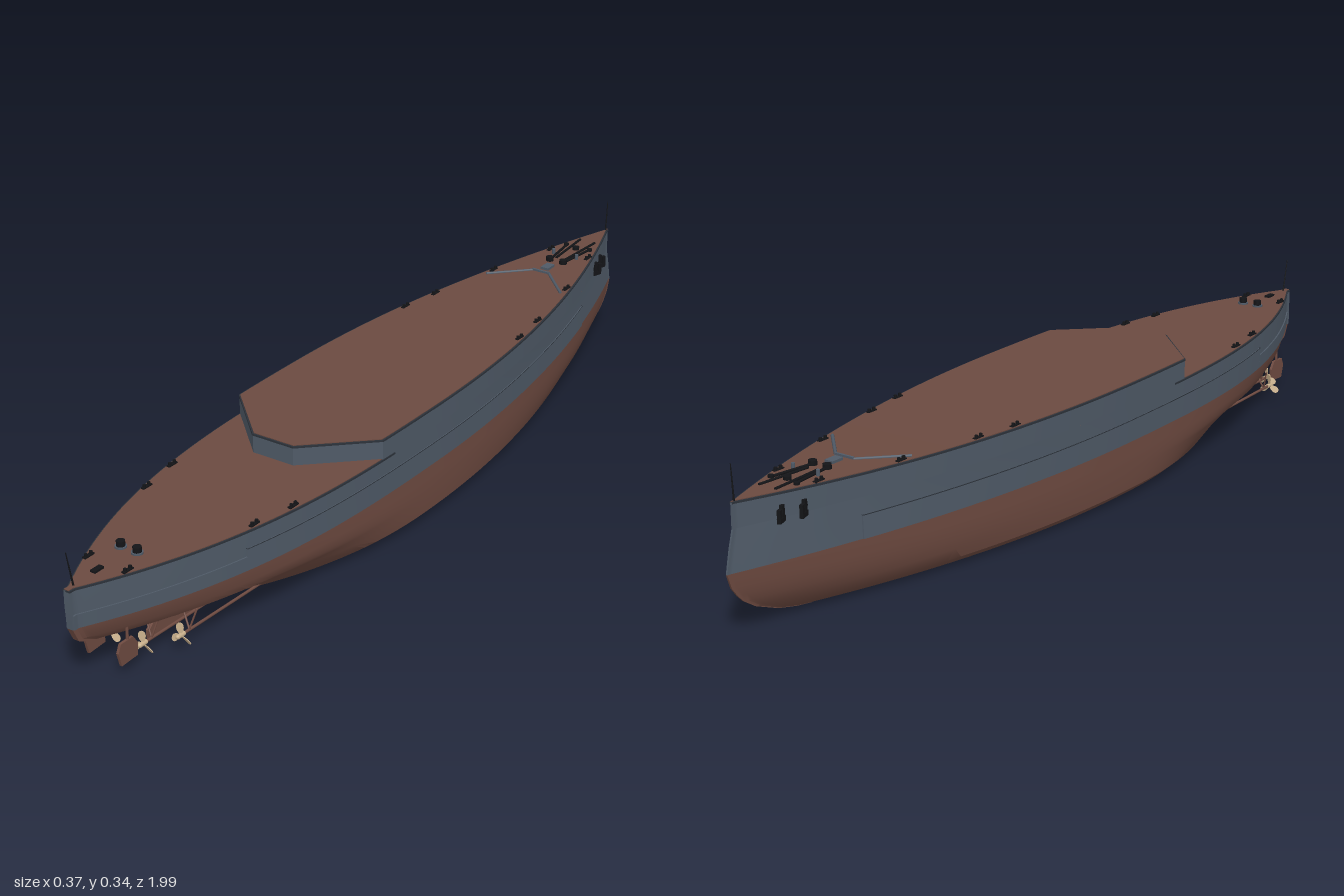
import * as THREE from 'three';
import { toCreasedNormals } from 'three/addons/utils/BufferGeometryUtils.js';

const mat = (name, color) => {
  const m = new THREE.MeshStandardMaterial({ color, side: THREE.DoubleSide });
  m.name = name;
  return m;
};

// Waterlines: height, half beam, bow z, stern z, bow and stern fullness
const MID = 0.05;
const line = (y, w, zb, zs, pf, pa) => ({ y, w, zb, zs, pf, pa });
const LEVELS = [
  line(0, 0.155, -0.78, 0.56, 2.0, 2.2),
  line(0.007, 0.165, -0.82, 0.6, 2.0, 2.2),
  line(0.02, 0.178, -0.87, 0.64, 2.0, 2.3),
  line(0.045, 0.181, -0.93, 0.72, 2.0, 2.4),
  line(0.065, 0.182, -0.96, 0.82, 2.0, 2.5),
  line(0.08, 0.183, -0.975, 0.93, 2.0, 2.6),
  line(0.1, 0.183, -0.99, 0.968, 2.0, 2.7),
  line(0.13, 0.183, -1.0, 0.982, 2.0, 2.8),
  line(0.177, 0.183, -0.99, 0.985, 2.0, 2.8),
  line(0.213, 0.183, -0.98, 0.985, 2.05, 2.8),
];
const [WATER, BELT, DECK] = [LEVELS[7], LEVELS[8], LEVELS[9]];

const half = (L, z) => z < MID
  ? Math.max(L.w * (1 - ((MID - z) / (MID - L.zb)) ** L.pf), 0.002)
  : Math.max(L.w * (1 - Math.min((z - MID) / (L.zs - MID), 1) ** L.pa), 0.007);

const sheer = (z) => 0.257 + 0.008 * Math.max(0, (-z - 0.4) / 0.6) ** 2;

// Half outline of one waterline, bow to stern, as [x, y, z]
function outline(L, { from = L.zb, to = L.zs, off = 0, y = () => L.y } = {}) {
  const pts = [], n = 64;
  for (let i = 0; i <= n; i++) {
    const t = (1 - Math.cos((Math.PI * i) / n)) / 2;
    const z = from + (to - from) * t;
    pts.push([Math.max(half(L, z) + off, 0.001), y(z), z]);
  }
  return pts;
}

// Mirrored skin through half outlines, with optional lids
function loft(rows, { top = false, bottom = false } = {}) {
  const v = [];
  const m = ([x, y, z]) => [-x, y, z];
  const quad = (a, b, c, d) => v.push(...a, ...b, ...c, ...a, ...c, ...d);
  const n = rows[0].length - 1, last = rows.length - 1;
  for (let l = 0; l < last; l++) {
    const lo = rows[l], up = rows[l + 1];
    for (let i = 0; i < n; i++) {
      quad(lo[i], up[i], up[i + 1], lo[i + 1]);
      quad(m(lo[i]), m(lo[i + 1]), m(up[i + 1]), m(up[i]));
    }
    quad(m(lo[n]), lo[n], up[n], m(up[n]));
    quad(lo[0], m(lo[0]), m(up[0]), up[0]);
  }
  for (let i = 0; i < n; i++) {
    const t = rows[last], b = rows[0];
    if (top) quad(t[i], m(t[i]), m(t[i + 1]), t[i + 1]);
    if (bottom) quad(b[i], b[i + 1], m(b[i + 1]), m(b[i]));
  }
  const g = new THREE.BufferGeometry();
  g.setAttribute('position', new THREE.Float32BufferAttribute(v, 3));
  return toCreasedNormals(g, 0.5);
}

export function createModel() {
  const ship = new THREE.Group();
  ship.name = 'ship';
  const grey = mat('hull grey', 0x4f5a67);
  const red = mat('underwater red brown', 0x6f4b41);
  const planks = mat('deck brown', 0x6b4a40);
  const dark = mat('dark trim', 0x2c323a);
  const black = mat('black fittings', 0x131417);
  const bronze = mat('propeller bronze', 0xc9b08c);

  const add = (name, geo, material, x = 0, y = 0, z = 0, parent = ship) => {
    const mesh = new THREE.Mesh(geo, material);
    mesh.name = name;
    mesh.position.set(x, y, z);
    parent.add(mesh);
    return mesh;
  };
  const rod = (name, a, b, r, material, r2 = r) => {
    const p = new THREE.Vector3(...a), q = new THREE.Vector3(...b);
    const d = q.clone().sub(p);
    const mesh = add(name, new THREE.CylinderGeometry(r2, r, d.length(), 8), material);
    mesh.position.copy(p).add(q).multiplyScalar(0.5);
    mesh.quaternion.setFromUnitVectors(new THREE.Vector3(0, 1, 0), d.normalize());
    return mesh;
  };
  const box = (w, h, d) => new THREE.BoxGeometry(w, h, d);
  const cyl = (r, h, n = 12) => new THREE.CylinderGeometry(r, r, h, n);

  // Hull, painted in two colours at the waterline
  add('lowerHull', loft(LEVELS.slice(0, 8).map((L) => outline(L)), { bottom: true }), red);
  add('upperHull', loft(LEVELS.slice(7).map((L) => outline(L))), grey);

  // Side belt, lower towards the stern
  const belt = (from, to, top) => loft([
    outline(WATER, { from, to }),
    outline(WATER, { from, to, off: 0.003 }),
    outline(BELT, { from, to, off: 0.003, y: () => top }),
    outline(BELT, { from, to, y: () => top }),
  ]);
  add('sideBelt', belt(-0.72, 0.63, 0.177), grey);
  add('sternBelt', belt(0.63, 0.98, 0.16), grey);
  add('beltSeam', loft([0.1765, 0.1785].map((y) =>
    outline(BELT, { from: -0.72, to: 0.63, off: 0.0032, y: () => y }))), dark);

  // After deck and its edge
  const aft = (off, y) => outline(DECK, { from: 0.2, off, y: () => y });
  add('afterDeckEdge', loft([aft(0.0015, 0.21), aft(0.0015, 0.214)], { top: true }), dark);
  add('afterDeck', loft([aft(-0.0015, 0.214), aft(-0.0015, 0.2155)], { top: true }), planks);

  // Raised forward deck with an angled after face
  const raised = (off, y) => [
    ...outline(DECK, { to: 0.24, off, y }), [0.05 + off / 2, y(0.3), 0.365 + off]];
  add('raisedSides', loft([raised(0, () => 0.213), raised(0, sheer)]), grey);
  add('raisedDeckEdge', loft([raised(0.0015, (z) => sheer(z) - 0.003),
    raised(0.0015, (z) => sheer(z) + 0.001)], { top: true }), dark);
  add('raisedDeck', loft([raised(-0.002, (z) => sheer(z) + 0.001),
    raised(-0.002, (z) => sheer(z) + 0.0025)], { top: true }), planks);

  // Centre skeg under the stern
  const skeg = new THREE.Shape([[0.5, 0], [0.77, 0], [0.77, 0.02], [0.73, 0.055], [0.5, 0.03]]
    .map(([z, y]) => new THREE.Vector2(-z, y)));
  add('skeg', new THREE.ExtrudeGeometry(skeg, { depth: 0.008, bevelEnabled: false }),
    red, -0.004).rotation.y = Math.PI / 2;

  // Propeller blade outline
  const blade = new THREE.Shape();
  blade.moveTo(-0.002, 0.003);
  blade.bezierCurveTo(-0.01, 0.014, -0.009, 0.026, 0, 0.027);
  blade.bezierCurveTo(0.009, 0.026, 0.01, 0.014, 0.002, 0.003);
  const bladeGeo = new THREE.ExtrudeGeometry(blade,
    { depth: 0.0015, bevelEnabled: false, curveSegments: 8 });

  for (const s of [-1, 1]) {
    const side = s > 0 ? 'left' : 'right';

    // Propellers, shafts and struts
    for (const [x, y, z, start] of [[0.083, 0.039, 0.77, 0.5], [0.04, 0.036, 0.83, 0.56]]) {
      const prop = new THREE.Group();
      prop.name = `${side}Propeller`;
      prop.position.set(s * x, y, z);
      ship.add(prop);
      add('hub', cyl(0.005, 0.018), bronze, 0, 0, 0, prop).rotation.x = Math.PI / 2;
      add('hubCap', new THREE.SphereGeometry(0.005, 12, 8), bronze, 0, 0, 0.009, prop);
      for (let i = 0; i < 3; i++) {
        const arm = new THREE.Group();
        arm.rotation.z = (i * 2 * Math.PI) / 3 + s * 0.1;
        prop.add(arm);
        add('blade', bladeGeo, bronze, 0, 0, 0, arm).rotation.y = s * 0.5;
      }
      rod(`${side}Shaft`, [s * x, y - 0.008, start], [s * x, y, z], 0.003, red);
      for (const dx of [-0.025, 0.012])
        rod(`${side}Strut`, [s * x, y, z - 0.025], [s * (x + dx), 0.082, z - 0.035], 0.002, red);
    }

    // Rudder
    const r = new THREE.Shape([[0.85, 0.022], [0.895, 0.02], [0.903, 0.05], [0.895, 0.068],
      [0.86, 0.068], [0.848, 0.05]].map(([z, y]) => new THREE.Vector2(-z, y)));
    add(`${side}Rudder`, new THREE.ExtrudeGeometry(r, { depth: 0.006, bevelEnabled: false }),
      red, s * 0.04 - 0.003).rotation.y = Math.PI / 2;
    rod(`${side}RudderStock`, [s * 0.04, 0.06, 0.873], [s * 0.04, 0.1, 0.873], 0.003, red);

    // Anchors on the bow
    for (const z of [-0.84, -0.885]) {
      const anchor = new THREE.Group();
      anchor.name = `${side}Anchor`;
      anchor.position.set(s * (half(DECK, z) + 0.002), 0.222, z);
      anchor.rotation.y = s * -0.33;
      ship.add(anchor);
      add('crown', box(0.008, 0.01, 0.032), black, 0, -0.011, 0, anchor);
      add('shank', box(0.007, 0.03, 0.009), black, 0, 0.002, 0, anchor);
      for (const f of [-1, 1])
        add('fluke', box(0.007, 0.024, 0.009), black, 0, -0.001, f * 0.012, anchor);
    }

    // Anchor chains and capstans
    for (const [x0, z0, x1, z1] of [[0.018, -0.74, 0.03, -0.84], [0.012, -0.76, 0.02, -0.885]])
      rod(`${side}Chain`, [s * x0, 0.264, z0], [s * x1, 0.266, z1], 0.003, black);
    add(`${side}Capstan`, cyl(0.009, 0.01), black, s * 0.018, 0.267, -0.74);
    add(`${side}ChainPipe`, cyl(0.006, 0.006), black, s * 0.032, 0.266, -0.84);
    add(`${side}Vent`, cyl(0.004, 0.014), grey, s * 0.031, 0.268, -0.78);
    add(`${side}SternCapstanBase`, cyl(0.012, 0.004), grey, s * 0.02, 0.217, 0.81);
    add(`${side}SternCapstan`, cyl(0.009, 0.014), black, s * 0.02, 0.223, 0.81);

    // Bollard pairs along the deck edges
    for (const z of [-0.8, -0.62, -0.43, -0.33, 0.5, 0.6, 0.87]) {
      const y = z < 0.24 ? sheer(z) : 0.214;
      for (const dz of [-0.007, 0.007])
        add(`${side}Bollard`, cyl(0.0035, 0.009, 8), black,
          s * (half(DECK, z) - 0.009), y + 0.005, z + dz);
      add(`${side}BollardBase`, box(0.008, 0.003, 0.026), black,
        s * (half(DECK, z) - 0.009), y + 0.003, z);
    }

    // Angled breakwater
    rod(`${side}Breakwater`, [s * 0.022, 0.261, -0.67], [s * 0.1, 0.261, -0.59], 0.0035, grey);
  }
  add('breakwaterCentre', box(0.046, 0.007, 0.005), grey, 0, 0.262, -0.67);
  add('bowHatch', box(0.02, 0.006, 0.03), grey, 0, 0.264, -0.7);
  add('bowWinch', cyl(0.008, 0.008), black, 0, 0.267, -0.83);
  add('sternHatch', box(0.012, 0.006, 0.025), black, 0, 0.217, 0.9);

  // Flagstaffs
  rod('bowStaff', [0, 0.262, -0.972], [0, 0.338, -0.977], 0.002, black, 0.001);
  rod('sternStaff', [0, 0.213, 0.965], [0, 0.29, 0.98], 0.002, black, 0.001);
  return ship;
}
